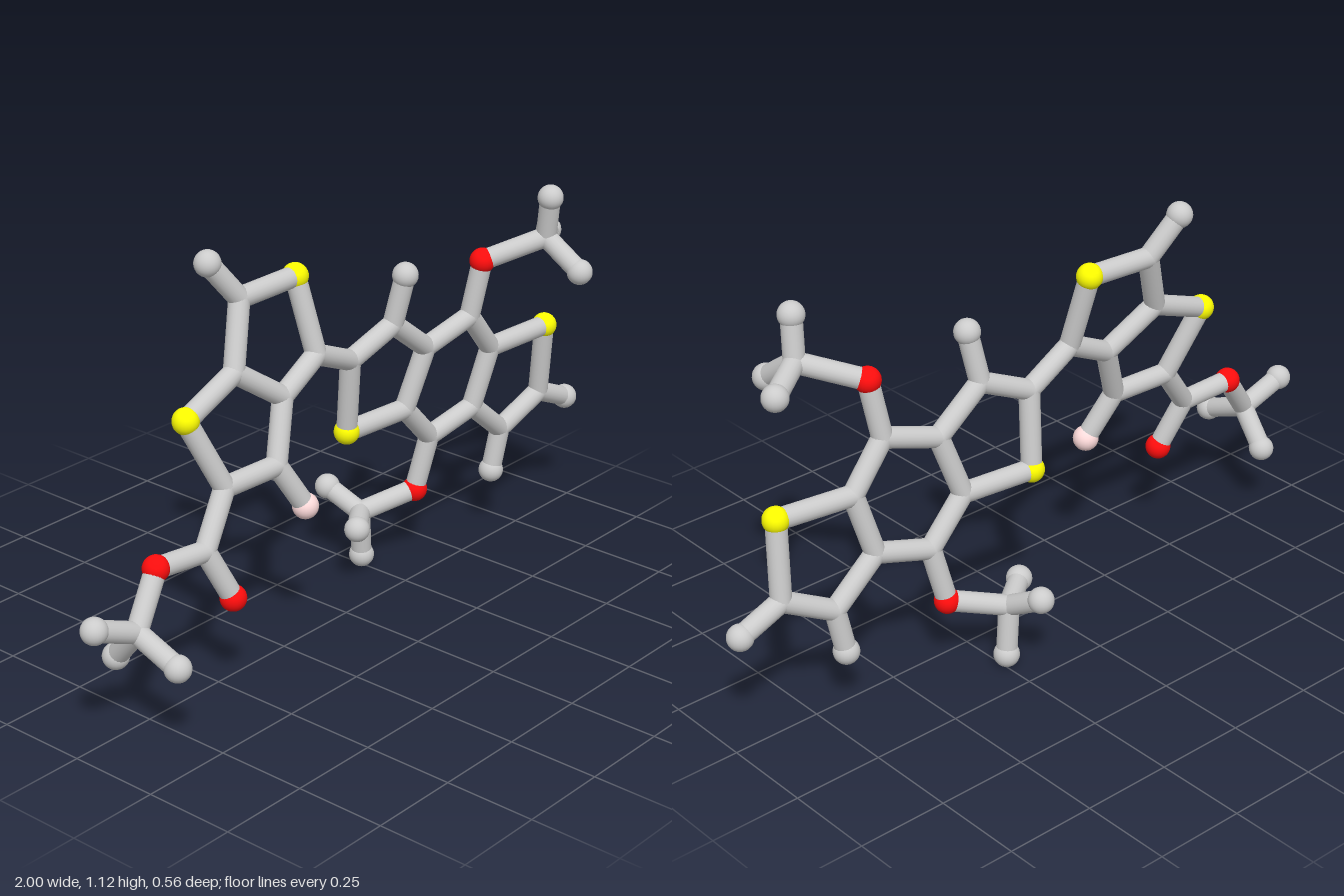
import * as THREE from 'three';

const BALL = 0.035, STICK = 0.028;

// Each half of the molecule lies on its own slightly tilted plane
const leftZ = (x, y) => 0.058 - 0.24 * (y - 0.42) + 0.05 * (x + 0.227);
const rightZ = (x, y) => -0.136 + 0.1 * x + 0.13 * y;

// Flat atoms as [x, y]; atoms of the bent end groups give z as well
const left = {
  tipA: [-0.393, 1.083], cA: [-0.313, 0.977], sulfurA: [-0.115, 0.982], cB: [-0.094, 0.775],
  cC: [-0.233, 0.706], cD: [-0.377, 0.807], sulfurB: [-0.559, 0.738], cE: [-0.479, 0.547],
  cF: [-0.297, 0.547], pinkA: [-0.227, 0.42], cG: [-0.58, 0.417], oxygenA: [-0.521, 0.278],
  oxygenB: [-0.741, 0.428], cH: [-0.837, 0.3, 0.055],
  tipB: [-0.967, 0.353, 0.045], tipC: [-0.832, 0.246, 0.186], tipD: [-0.828, 0.203, -0.03],
};
const right = {
  cI: [0.061, 0.706], sulfurC: [0.077, 0.49], cJ: [0.206, 0.77], tipE: [0.225, 0.908, 0.01],
  cK: [0.345, 0.663], cL: [0.291, 0.492], cM: [0.505, 0.711], oxygenC: [0.527, 0.87],
  cN: [0.607, 0.588], cO: [0.564, 0.417], cP: [0.404, 0.374], oxygenD: [0.372, 0.217],
  sulfurD: [0.826, 0.594], cQ: [0.842, 0.38], tipF: [0.965, 0.326], cR: [0.698, 0.305],
  tipG: [0.676, 0.18, -0.038],
  cS: [0.666, 0.925, 0.137], tipH: [0.655, 1.043, 0.156], tipI: [0.783, 0.898, 0.06], tipJ: [0.676, 0.847, 0.245],
  cT: [0.227, 0.176, -0.145], tipK: [0.243, 0.037, -0.153], tipL: [0.206, 0.23, -0.246], tipM: [0.126, 0.182, -0.07],
};

// Chains of bonded atoms
const chains = [
  'tipA cA sulfurA cB cC cD cA', 'cD sulfurB cE cF cC', 'cF pinkA', 'cE cG oxygenB cH tipB',
  'cG oxygenA', 'tipC cH tipD', 'cB cI sulfurC cL cK cJ cI', 'cJ tipE',
  'cK cM cN cO cP cL', 'cN sulfurD cQ cR cO', 'cQ tipF', 'cR tipG',
  'cM oxygenC cS tipH', 'tipI cS tipJ', 'cP oxygenD cT tipK', 'tipL cT tipM',
];

export function createModel() {
  const model = new THREE.Group();
  model.name = 'molecule';

  const material = (color) => new THREE.MeshStandardMaterial({ color });
  const grey = material(0xcccccc);
  const colours = { sulfur: material(0xffff00), oxygen: material(0xff0d0d), pink: material(0xffdcdc), tip: grey };

  const ball = new THREE.SphereGeometry(BALL, 24, 16);
  const joint = new THREE.SphereGeometry(STICK, 20, 14);
  const stick = new THREE.CylinderGeometry(STICK, STICK, 1, 20, 1, true);

  // Atoms: large balls for coloured and end atoms, flush joints elsewhere
  const atoms = {};
  const addAtoms = (table, planeZ) => {
    for (const [key, [x, y, z = planeZ(x, y)]] of Object.entries(table)) {
      const kind = key.slice(0, -1);
      const isBall = kind in colours;
      const mesh = new THREE.Mesh(isBall ? ball : joint, isBall ? colours[kind] : grey);
      mesh.name = isBall ? `${kind}Ball` : 'carbonJoint';
      mesh.position.set(x, y, z);
      atoms[key] = mesh.position;
      model.add(mesh);
    }
  };
  addAtoms(left, leftZ);
  addAtoms(right, rightZ);

  // Bonds: round sticks between neighbouring atoms
  const up = new THREE.Vector3(0, 1, 0);
  for (const chain of chains) {
    const keys = chain.split(' ');
    for (let i = 1; i < keys.length; i++) {
      const a = atoms[keys[i - 1]], b = atoms[keys[i]];
      const dir = b.clone().sub(a);
      const mesh = new THREE.Mesh(stick, grey);
      mesh.name = 'bond';
      mesh.position.copy(a).lerp(b, 0.5);
      mesh.scale.y = dir.length();
      mesh.quaternion.setFromUnitVectors(up, dir.normalize());
      model.add(mesh);
    }
  }
  return model;
}
